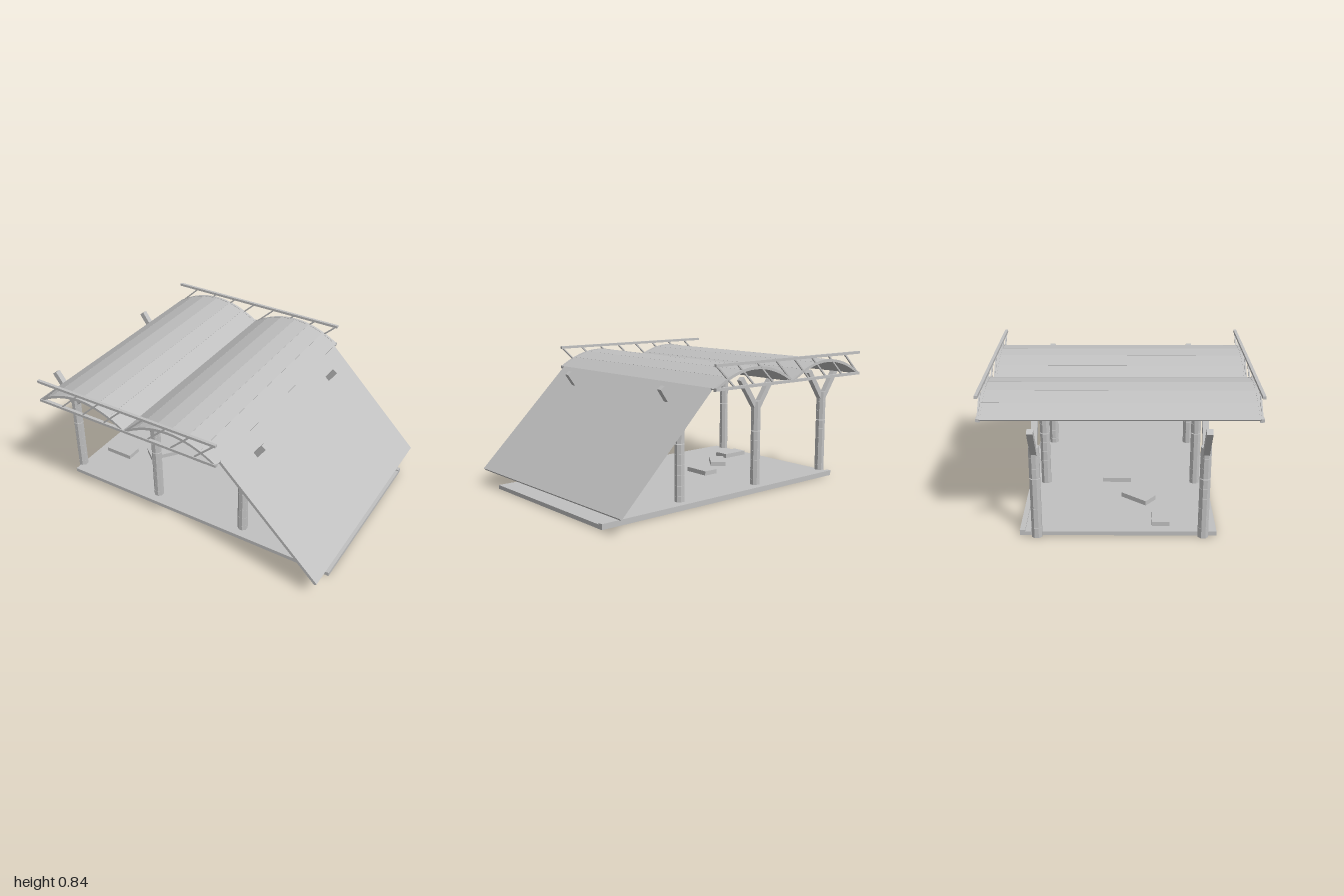
import * as THREE from 'three';

export function createModel() {
  const model = new THREE.Group();
  model.name = 'openPavilion';
  const grey = new THREE.MeshStandardMaterial({ color: 0xc0c0c0, flatShading: true });
  grey.name = 'plain grey';

  const add = (name, geometry, x = 0, y = 0, z = 0) => {
    const mesh = new THREE.Mesh(geometry, grey);
    mesh.name = name;
    mesh.position.set(x, y, z);
    model.add(mesh);
    return mesh;
  };
  const box = (name, w, h, d, x, y, z) => add(name, new THREE.BoxGeometry(w, h, d), x, y, z);
  // Bar running between two points in the xy plane
  const bar = (name, x0, y0, x1, y1, thick, depth, z) => {
    const m = box(name, Math.hypot(x1 - x0, y1 - y0), thick, depth, (x0 + x1) / 2, (y0 + y1) / 2, z);
    m.rotation.z = Math.atan2(y1 - y0, x1 - x0);
    return m;
  };

  // Floor slab and the raised strip along its back edge
  box('floor', 1.84, 0.024, 1.07, 0.07, 0.015, 0.005);
  box('backFloorStrip', 1.84, 0.032, 0.03, 0.07, 0.019, -0.545);

  // Low benches on the floor
  box('bench', 0.185, 0.028, 0.1, -0.697, 0.041, 0.23);
  box('bench', 0.185, 0.028, 0.1, -0.453, 0.041, 0.11).rotation.y = 0.9;
  box('bench', 0.1, 0.028, 0.175, -0.192, 0.041, -0.022);

  // Segmented octagonal posts with forked arms
  const postX = [-0.85, -0.235, 0.38];
  const step = 0.55 / 9;
  for (const x of postX) {
    for (const z of [-0.463, 0.463]) {
      for (let i = 0; i < 9; i++) {
        const h = step - (i === 5 ? 0.005 : 0.0008);
        const segment = new THREE.CylinderGeometry(0.031, 0.031, h, 8);
        segment.rotateY(Math.PI / 8);
        add('postSegment', segment, x, i * step + h / 2, z);
      }
      for (const s of [-1, 1]) bar('postArm', x, 0.5, x + s * 0.136, 0.694, 0.034, 0.034, z);
    }
  }

  // Two arched vaults of flat planks, six planks to each arch
  const half = 0.3075;
  const archY = (u) => 0.70 + 0.1 * (1 - u * u);
  for (const cx of [-0.5425, 0.0725]) {
    for (let i = 0; i < 6; i++) {
      const u0 = -1 + i / 3, u1 = u0 + 1 / 3;
      bar('roofPlank', cx + u0 * half, archY(u0), cx + u1 * half, archY(u1), 0.009, 1.5, 0);
    }
    // Curved ribs at both ends of the vault
    const outline = [];
    for (let i = 0; i <= 16; i++) outline.push(new THREE.Vector2(cx + (i / 8 - 1) * half, archY(i / 8 - 1) + 0.005));
    for (let i = 16; i >= 0; i--) outline.push(new THREE.Vector2(cx + (i / 8 - 1) * half, archY(i / 8 - 1) - 0.012));
    const rib = new THREE.ExtrudeGeometry(new THREE.Shape(outline), { depth: 0.018, bevelEnabled: false });
    for (const z of [-0.759, 0.741]) add('roofRib', rib, 0, 0, z);
  }

  // End trusses: chords joined by slanting struts
  const bay = 1.23 / 8;
  for (const z of [-0.755, 0.755]) {
    box('topChord', 1.23, 0.016, 0.018, -0.235, 0.829, z);
    box('bottomChord', 1.23, 0.016, 0.02, -0.235, 0.699, z);
    for (let i = 0; i < 8; i++) {
      const x = -0.85 + i * bay;
      bar('trussStrut', x + 0.008, 0.7, x + bay - 0.008, 0.828, 0.009, 0.009, z);
    }
  }

  // Sloping side panel
  bar('slopingPanel', 0.376, 0.7, 0.99, 0.095, 0.018, 1.44, 0);

  return model;
}
